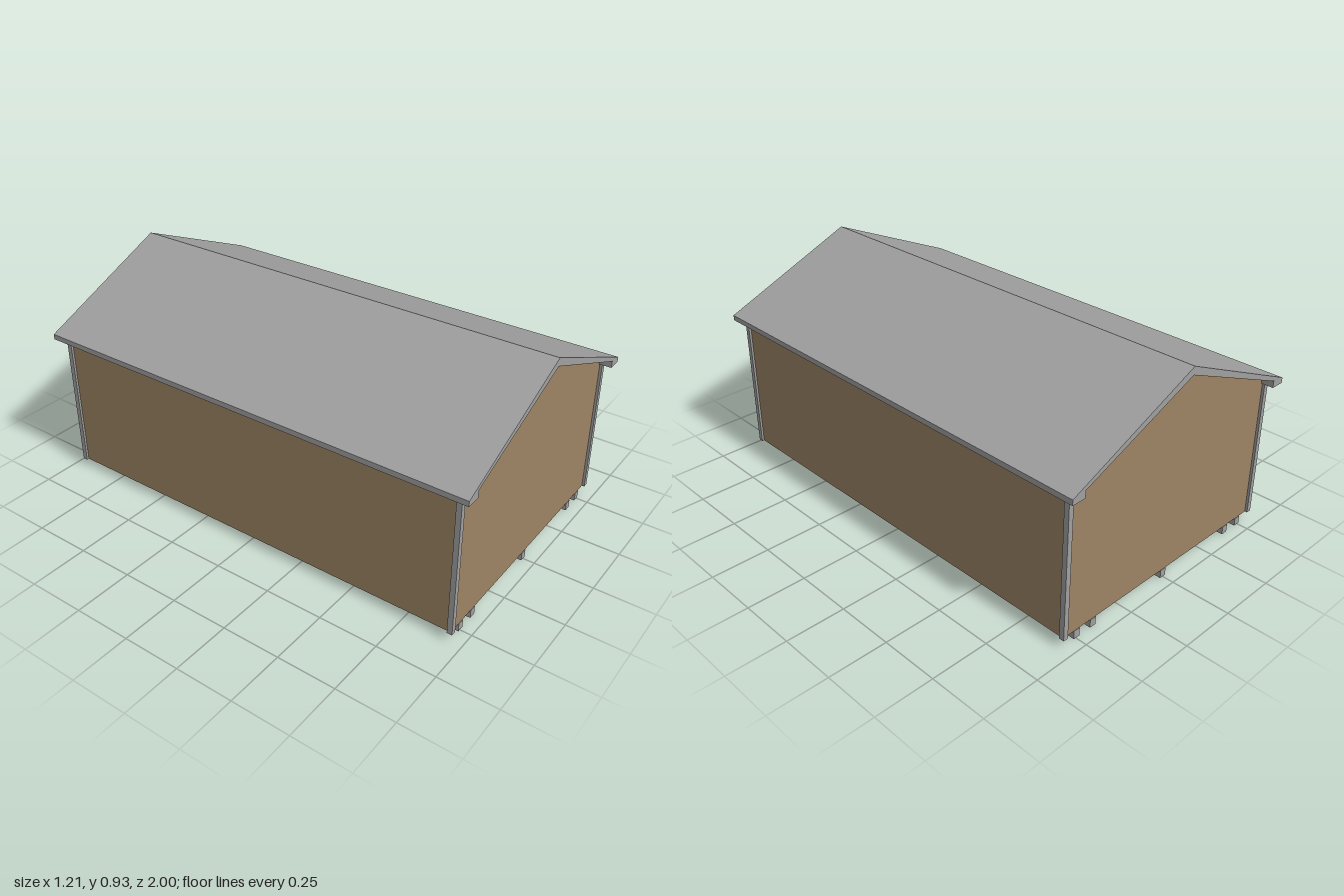
import * as THREE from 'three';

export function createModel() {
  const model = new THREE.Group();
  const trim = new THREE.MeshStandardMaterial({ name: 'grey trim', color: 0xa0a0a0 });
  const boards = new THREE.MeshStandardMaterial({ name: 'brown boards', color: 0x9d8464, side: THREE.DoubleSide });

  const add = (name, geometry, material, x = 0, y = 0, z = 0) => {
    const mesh = new THREE.Mesh(geometry, material);
    mesh.name = name;
    mesh.position.set(x, y, z);
    model.add(mesh);
    return mesh;
  };
  const outline = (points) => new THREE.Shape(points.map(([x, y]) => new THREE.Vector2(x, y)));
  const extrude = (points, depth) =>
    new THREE.ExtrudeGeometry(outline(points), { depth, bevelEnabled: false }).translate(0, 0, -depth / 2);

  const base = 0.035, eave = 0.64, wallX = 0.565, wallZ = 0.948;
  const innerX = 0.545, innerY = 0.672, innerPeak = 0.893;

  // Gabled roof with a boxed eave along each side
  add('roof', extrude([
    [-0.607, eave], [-innerX, eave], [-innerX, innerY], [0, innerPeak], [innerX, innerY],
    [innerX, eave], [0.607, eave], [0.607, 0.663], [0, 0.925], [-0.607, 0.663],
  ], 2), trim);

  // Thin board lining under the roof slopes
  const t = 0.003;
  add('roofLining', extrude([
    [-innerX, innerY - t], [0, innerPeak - t], [innerX, innerY - t],
    [innerX, innerY], [0, innerPeak], [-innerX, innerY],
  ], 1.998), boards);

  // Gable walls reach up to the roof lining
  const gable = new THREE.ShapeGeometry(outline([
    [-wallX, base], [wallX, base], [wallX, eave], [innerX, eave], [innerX, innerY],
    [0, innerPeak], [-innerX, innerY], [-innerX, eave], [-wallX, eave],
  ]));
  add('frontWall', gable, boards, 0, 0, wallZ);
  add('backWall', gable, boards, 0, 0, -wallZ).rotation.y = Math.PI;

  // Side walls and corner posts
  const height = eave - base;
  const sideWall = new THREE.PlaneGeometry(wallZ * 2, height);
  const post = new THREE.BoxGeometry(0.022, height, 0.022);
  for (const side of [-1, 1]) {
    const wall = add(side > 0 ? 'leftWall' : 'rightWall', sideWall, boards, side * wallX, base + height / 2);
    wall.rotation.y = side * Math.PI / 2;
    for (const end of [-1, 1])
      add('cornerPost', post, trim, side * 0.564, base + height / 2, end * 0.948);
  }

  // Floor runners
  const runner = new THREE.BoxGeometry(0.03, base, 1.9);
  for (const x of [-0.495, -0.408, 0, 0.408, 0.495]) add('runner', runner, trim, x, base / 2);

  return model;
}
